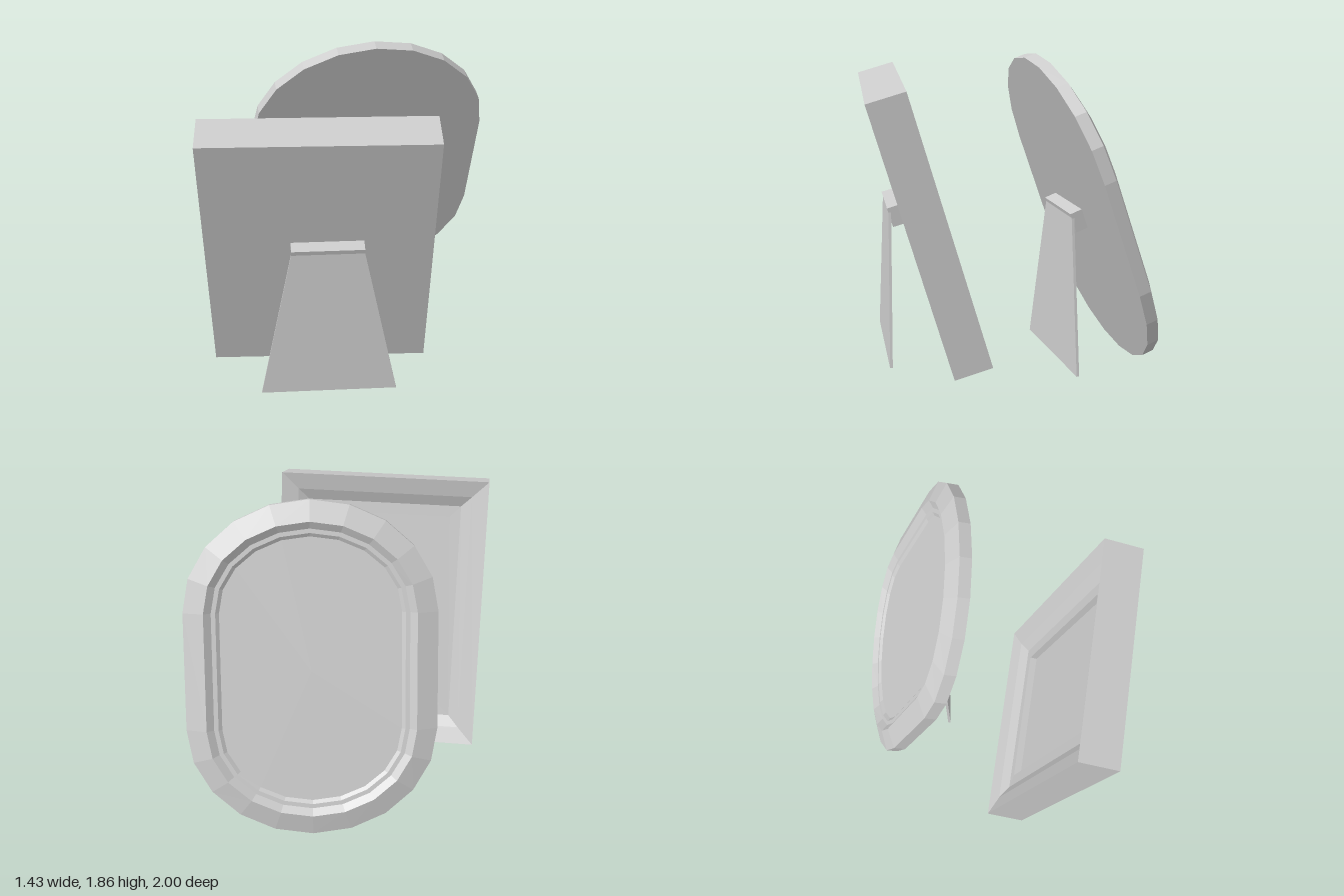
import * as THREE from 'three';

const material = new THREE.MeshStandardMaterial({ color: 0xcccccc, flatShading: true });

// Counter-clockwise outlines, shrunk by an inset
const rectangle = (halfW, halfH) => (inset) => {
  const w = halfW - inset, h = halfH - inset;
  return [[w, -h], [w, h], [-w, h], [-w, -h]];
};
const oval = (halfW, straight, arc, steps) => (inset) => {
  const points = [];
  for (const side of [1, -1]) {
    for (let i = 0; i <= steps; i++) {
      const a = (Math.PI * i) / steps;
      points.push([
        side * (halfW - inset) * Math.cos(a),
        side * (straight + (arc - inset) * Math.sin(a)),
      ]);
    }
  }
  return points;
};

function meshFromTriangles(name, triangles) {
  const geometry = new THREE.BufferGeometry();
  geometry.setAttribute('position', new THREE.Float32BufferAttribute(triangles.flat(), 3));
  geometry.computeVertexNormals();
  const mesh = new THREE.Mesh(geometry, material);
  mesh.name = name;
  return mesh;
}

// Flat panel across one outline
function panel(name, points, z, flip) {
  const tris = [];
  points.forEach(([x, y], i) => {
    const [x2, y2] = points[(i + 1) % points.length];
    const a = [x, y, z], b = [x2, y2, z];
    tris.push([0, 0, z], ...(flip ? [b, a] : [a, b]));
  });
  return meshFromTriangles(name, tris);
}

// Moulding swept around the outline; profile is [inset, depth] from back to picture
function pictureFrame(name, outline, profile) {
  const group = new THREE.Group();
  group.name = name;
  const rings = profile.map(([inset, z]) => outline(inset).map(([x, y]) => [x, y, z]));
  const tris = [];
  for (let k = 0; k < rings.length - 1; k++) {
    const lower = rings[k], upper = rings[k + 1];
    for (let i = 0; i < lower.length; i++) {
      const j = (i + 1) % lower.length;
      tris.push(lower[i], lower[j], upper[j], lower[i], upper[j], upper[i]);
    }
  }
  const [inset, depth] = profile[profile.length - 1];
  group.add(
    meshFromTriangles('moulding', tris),
    panel('backPanel', outline(0), 0, true),
    panel('picture', outline(inset), depth, false),
  );
  return group;
}

// Tapered easel leg hanging from a hinge block
function easelStand(name, tilt) {
  const group = new THREE.Group();
  group.name = name;
  const hinge = new THREE.Mesh(new THREE.BoxGeometry(0.41, 0.12, 0.073).translate(0, -0.06, -0.0365), material);
  hinge.name = 'hingeBlock';
  hinge.position.y = 0.955;
  hinge.rotation.x = tilt;

  const shape = new THREE.Shape([[-0.395, 0], [0.395, 0], [0.204, 0.91], [-0.204, 0.91]]
    .map(([x, y]) => new THREE.Vector2(x, y)));
  const leg = new THREE.Mesh(
    new THREE.ExtrudeGeometry(shape, { depth: 0.016, bevelEnabled: false }).translate(0, 0, -0.016),
    material,
  );
  leg.name = 'leg';
  leg.position.set(0, 0.025, 0.022);
  leg.rotation.x = -0.033;
  group.add(hinge, leg);
  return group;
}

export function createModel() {
  const model = new THREE.Group();
  model.name = 'pictureFrames';

  const place = (frame, position, tilt, yaw, standX, standZ, standYaw) => {
    frame.position.set(...position);
    frame.rotation.set(-tilt, yaw + Math.PI, 0, 'YXZ');
    const stand = easelStand(frame.name + 'Stand', tilt);
    stand.position.set(standX, 0, standZ);
    stand.rotation.y = standYaw;
    model.add(frame, stand);
  };

  // Rectangular frame with a deep mitred moulding, scooped towards the picture
  place(
    pictureFrame('rectangularFrame', rectangle(0.642, 0.849),
      [[0, 0], [0, 0.235], [0.1, 0.2], [0.165, 0.16], [0.232, 0.158], [0.232, 0.115]]),
    [0.029, 0.824, 0.579], 0.28, 0.31, 0.11, 0.677, 0.34,
  );

  // Oval frame with a raised, stepped rim
  place(
    pictureFrame('ovalFrame', oval(0.72, 0.34, 0.633, 10),
      [[0, 0], [0, 0.07], [0.12, 0.115], [0.16, 0.085], [0.185, 0.085], [0.205, 0.07]]),
    [0.015, 0.92, -0.471], 0.336, 0.455, 0.08, -0.375, 0.48,
  );

  return model;
}
